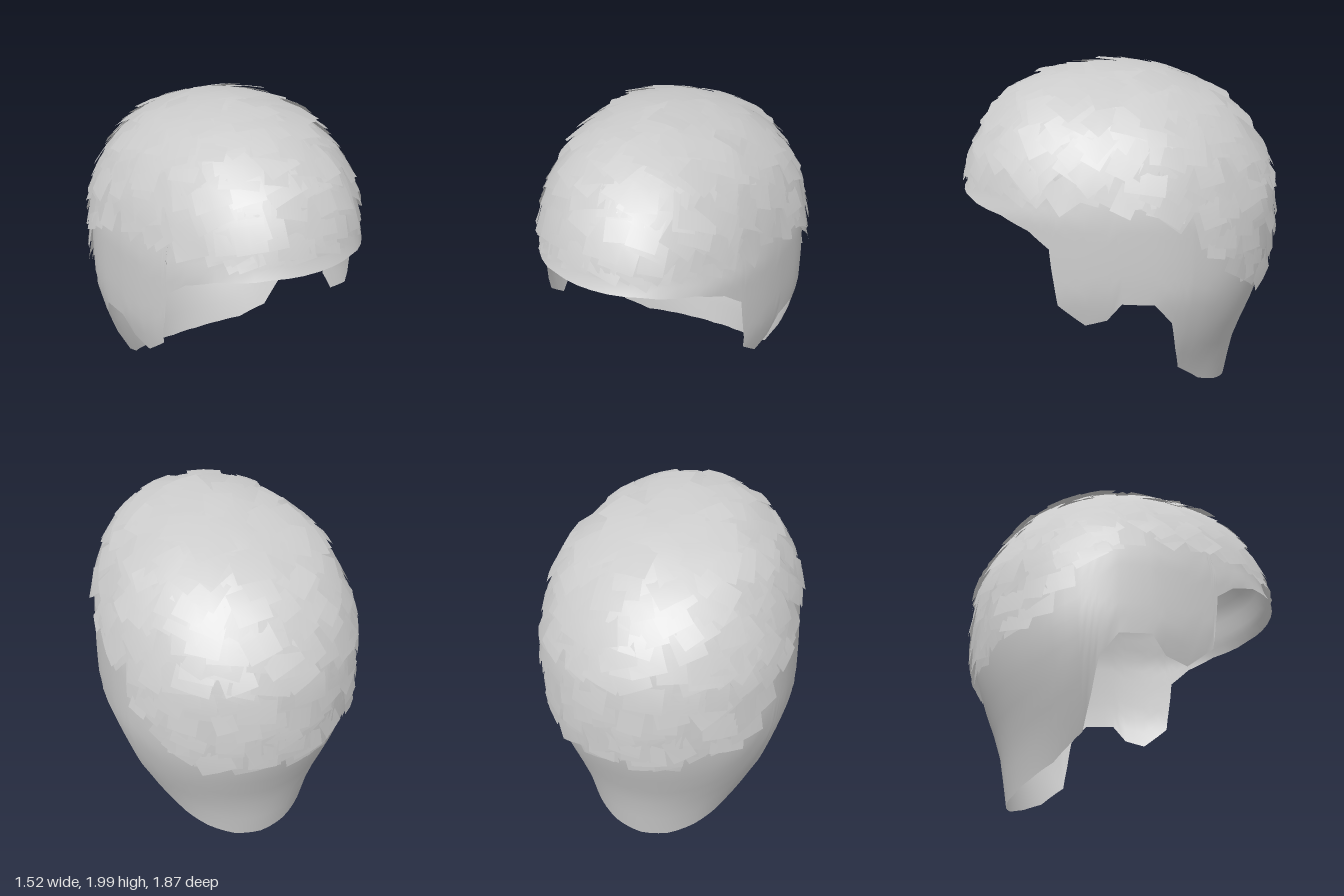
import * as THREE from 'three';

const TOP = 1.97;
// head sections: height, half width, front z, back z
const SECTIONS = [
  [1.97, 0, 0.04, 0.04], [1.92, 0.26, 0.4, -0.31], [1.85, 0.41, 0.565, -0.47],
  [1.7, 0.565, 0.745, -0.665], [1.5, 0.665, 0.86, -0.805], [1.32, 0.705, 0.9, -0.875],
  [1.25, 0.72, 0.94, -0.885], [1, 0.73, 0.94, -0.89], [0.8, 0.73, 0.94, -0.865],
  [0.63, 0.69, 0.94, -0.82], [0.47, 0.64, 0.94, -0.755], [0.28, 0.55, 0.94, -0.695],
  [0.15, 0.5, 0.94, -0.675], [0, 0.48, 0.94, -0.65],
];
// hairline from brow, round the sideburn and ear, to the nape: z, y
const HAIRLINE = [
  [0.94, 1.26], [0.88, 1.26], [0.7, 1.23], [0.55, 1.17], [0.44, 1.08], [0.43, 0.97],
  [0.4, 0.75], [0.25, 0.63], [0.13, 0.67], [0.05, 0.78], [-0.13, 0.77], [-0.23, 0.64],
  [-0.26, 0.45], [-0.29, 0.28], [-0.43, 0.14], [-0.54, 0.075], [-0.62, 0.025], [-0.65, 0.005],
];
// roundness of the sections before and behind the ears
const FRONT = 2.15, BACK = 2;

function section(y) {
  const u = Math.sqrt(Math.max(0, TOP - y));
  let i = 1;
  while (i < SECTIONS.length - 1 && SECTIONS[i][0] > y) i++;
  const p = SECTIONS[i - 1], q = SECTIONS[i];
  const u0 = Math.sqrt(TOP - p[0]), u1 = Math.sqrt(TOP - q[0]);
  const t = THREE.MathUtils.clamp((u - u0) / (u1 - u0), 0, 1);
  const [a, f, b] = [1, 2, 3].map((k) => p[k] + (q[k] - p[k]) * t);
  const c = 0.04 - 0.15 * Math.min(1, u / 0.8);
  return { a, c, f: Math.max(0, f - c), b: Math.max(0, c - b) };
}

// point on the head at an angle round it and a height
function surface(phi, y) {
  const s = section(y), cs = Math.cos(phi), sn = Math.sin(phi);
  const power = 2 / (cs > 0 ? FRONT : BACK);
  const bend = (v) => Math.sign(v) * Math.abs(v) ** power;
  return new THREE.Vector3(s.a * bend(sn), y, s.c + (cs > 0 ? s.f : s.b) * bend(cs));
}

function isInside(p) {
  if (p.y >= TOP) return false;
  const s = section(p.y), d = p.z - s.c, k = d > 0 ? FRONT : BACK;
  return (Math.abs(p.x) / s.a) ** k + (Math.abs(d) / (d > 0 ? s.f : s.b)) ** k < 1;
}

// distance from a point to the head against the given normal
function gapToHead(p, normal) {
  let near = 0, far = 0.14;
  for (let i = 0; i < 12; i++) {
    const mid = (near + far) / 2;
    if (isInside(p.clone().addScaledVector(normal, -mid))) far = mid;
    else near = mid;
  }
  return near;
}

function angleAt(z, y) {
  const s = section(y), d = z - s.c;
  const v = Math.min(1, Math.abs(d) / (d > 0 ? s.f : s.b)) ** ((d > 0 ? FRONT : BACK) / 2);
  return Math.acos(Math.sign(d) * v);
}

function makeMesh(name, positions, index) {
  const geometry = new THREE.BufferGeometry();
  geometry.setAttribute('position', new THREE.Float32BufferAttribute(positions, 3));
  geometry.setIndex(index);
  geometry.computeVertexNormals();
  const material = new THREE.MeshStandardMaterial({ color: 0xcccccc, side: THREE.DoubleSide });
  const mesh = new THREE.Mesh(geometry, material);
  mesh.name = name;
  return mesh;
}

// smooth shell reaching from the crown down to the hairline
function scalp() {
  const half = [];
  const marks = HAIRLINE.map(([z, y]) => [angleAt(z, y), y]);
  marks[0][0] = 0;
  marks[marks.length - 1][0] = Math.PI;
  for (let i = 0; i < marks.length - 1; i++) {
    for (let k = 0; k < 3; k++) {
      half.push([0, 1].map((n) => THREE.MathUtils.lerp(marks[i][n], marks[i + 1][n], k / 3)));
    }
  }
  const mirrored = half.slice(1).reverse().map(([p, y]) => [2 * Math.PI - p, y]);
  const columns = [...half, marks[marks.length - 1], ...mirrored];
  const rows = 26, n = columns.length, positions = [], index = [];
  for (let j = 0; j <= rows; j++) {
    for (const [phi, low] of columns) {
      const y = TOP - (TOP - low) * (j / rows) ** 2;
      positions.push(...surface(phi, y).toArray());
    }
  }
  for (let j = 0; j < rows; j++) {
    for (let i = 0; i < n; i++) {
      const a = j * n + i, b = j * n + ((i + 1) % n);
      if (j > 0) index.push(a, a + n, b);
      index.push(b, a + n, b + n);
    }
  }
  return makeMesh('scalp', positions, index);
}

// lowest height the locks may reach at a given z
function lockLimit(z) {
  const line = [[0.3, 1.32], [0, 1.26], [-0.3, 1.18], [-0.5, 0.9], [-0.8, 0.72]];
  if (z >= line[0][0]) return line[0][1];
  for (let i = 1; i < line.length; i++) {
    if (z > line[i][0]) {
      const t = (z - line[i][0]) / (line[i - 1][0] - line[i][0]);
      return THREE.MathUtils.lerp(line[i][1], line[i - 1][1], t);
    }
  }
  return line[line.length - 1][1];
}

// overlapping flat locks combed away from the crown whorl
function locks() {
  let seed = 7;
  const random = () => (seed = (seed * 16807) % 2147483647) / 2147483647;
  const range = (a, b) => a + (b - a) * random();
  const whorl = new THREE.Vector3(0.08, 1.9, -0.4);
  const positions = [], index = [], count = 640, steps = 2;
  for (let i = 0; i < count; i++) {
    const y = TOP - 0.005 - 1.16 * (i / count);
    const phi = i * 2.39996 + range(-0.1, 0.1);
    const root = surface(phi, y);
    const e = 0.004;
    const round = surface(phi + 0.02, y).sub(surface(phi - 0.02, y));
    const fall = surface(phi, y - e).sub(surface(phi, y + e));
    const normal = fall.cross(round).normalize();
    const fringe = root.z > 0.35 && y < 1.74;
    const along = root.clone().sub(whorl);
    along.y -= 0.25;
    along.projectOnPlane(normal).normalize();
    along.applyAxisAngle(normal, fringe ? range(-0.25, 0.25) : range(-0.5, 0.5));
    const across = along.clone().cross(normal);
    const width = range(0.12, 0.22), lift = range(0.012, 0.04);
    let length = fringe ? range(0.22, 0.34) : range(0.17, 0.28);
    // trim the lock where it would pass the limit
    const tip = root.clone().addScaledVector(along, length);
    const spare = root.y - lockLimit(tip.z) - range(0, 0.05);
    if (tip.y < root.y - spare) length = spare / -along.y;
    if (length < 0.13) continue;
    const base = positions.length / 3;
    for (let r = 0; r <= steps; r++) {
      for (let c = 0; c <= steps; c++) {
        const l = length * (r / steps), w = width * (c / steps - 0.5);
        const p = root.clone().addScaledVector(along, l).addScaledVector(across, w);
        const out = 0.004 + lift * (r / steps) - 0.95 * gapToHead(p, normal);
        positions.push(...p.addScaledVector(normal, out).toArray());
      }
    }
    const n = steps + 1;
    for (let r = 0; r < steps; r++) {
      for (let c = 0; c < steps; c++) {
        const a = base + r * n + c;
        index.push(a, a + 1, a + n, a + 1, a + n + 1, a + n);
      }
    }
  }
  return makeMesh('hairLocks', positions, index);
}

export function createModel() {
  const group = new THREE.Group();
  group.name = 'shortHair';
  group.add(scalp(), locks());
  return group;
}
